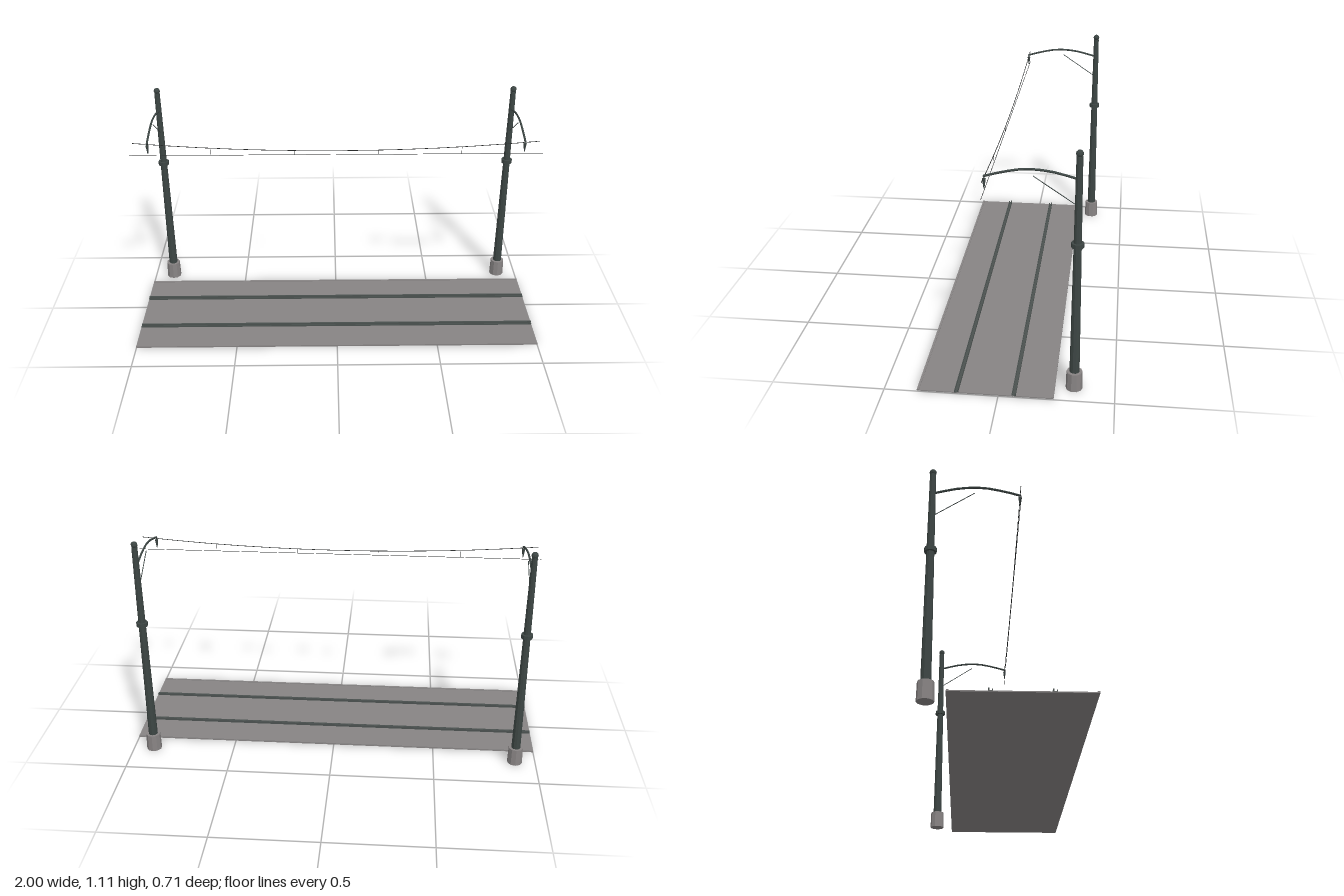
import * as THREE from 'three';

const paint = (name, color) => {
  const m = new THREE.MeshStandardMaterial({ color, flatShading: true });
  m.name = name;
  return m;
};

export function createModel() {
  const iron = paint('dark green iron', 0x3d4644);
  const concrete = paint('concrete grey', 0x888484);
  const paving = paint('paving grey', 0x878484);
  const steel = paint('rail steel', 0x4b5250);
  const wireMat = paint('wire black', 0x2a2c2c);

  const model = new THREE.Group();
  model.name = 'tramLineSection';
  const V = (x, y, z) => new THREE.Vector3(x, y, z);

  function add(parent, name, geometry, material, x = 0, y = 0, z = 0) {
    const mesh = new THREE.Mesh(geometry, material);
    mesh.name = name;
    mesh.position.set(x, y, z);
    parent.add(mesh);
    return mesh;
  }

  // Round bar between two points
  function bar(parent, name, a, b, r, material, sides = 6) {
    const d = b.clone().sub(a);
    const mesh = add(parent, name, new THREE.CylinderGeometry(r, r, d.length(), sides), material);
    mesh.position.copy(a).add(b).multiplyScalar(0.5);
    mesh.quaternion.setFromUnitVectors(V(0, 1, 0), d.normalize());
  }

  // Track bed with edge strips
  add(model, 'trackBed', new THREE.BoxGeometry(2, 0.005, 0.595), paving, 0, 0.0055, 0.0575);
  for (const z of [-0.234, 0.35]) {
    add(model, 'edgeStrip', new THREE.BoxGeometry(2, 0.008, 0.01), paving, 0, 0.007, z);
  }

  // Grooved rails: foot, running head and guard lip
  for (const z of [-0.068, 0.182]) {
    const rail = new THREE.Group();
    rail.name = 'rail';
    rail.position.z = z;
    add(rail, 'railFoot', new THREE.BoxGeometry(2, 0.006, 0.018), steel, 0, 0.0065, 0);
    add(rail, 'railHead', new THREE.BoxGeometry(2, 0.011, 0.006), steel, 0, 0.0145, -0.006);
    add(rail, 'railLip', new THREE.BoxGeometry(2, 0.008, 0.003), steel, 0, 0.012, 0.0075);
    model.add(rail);
  }

  // Poles with curved bracket arms
  const poleZ = -0.322, wireZ = 0.06;
  for (const x of [-0.9, 0.9]) {
    const pole = new THREE.Group();
    pole.name = 'polePost';
    pole.position.x = x;
    add(pole, 'poleBase', new THREE.CylinderGeometry(0.035, 0.037, 0.085, 10), concrete, 0, 0.0425, poleZ);
    add(pole, 'poleShaft', new THREE.CylinderGeometry(0.0135, 0.022, 1.0, 10), iron, 0, 0.585, poleZ);
    add(pole, 'poleCollar', new THREE.CylinderGeometry(0.027, 0.027, 0.02, 10), iron, 0, 0.696, poleZ);
    add(pole, 'poleFinial', new THREE.SphereGeometry(0.016, 8, 6), iron, 0, 1.096, poleZ);

    const arm = new THREE.CatmullRomCurve3([
      V(0, 0.988, -0.315), V(0, 1.014, -0.21), V(0, 1.021, -0.11), V(0, 1.006, -0.02), V(0, 0.984, wireZ),
    ]);
    add(pole, 'bracketArm', new THREE.TubeGeometry(arm, 8, 0.005, 6), iron);
    add(pole, 'armTip', new THREE.SphereGeometry(0.0055, 6, 4), iron, 0, 0.984, wireZ);
    bar(pole, 'armStrut', V(0, 0.872, -0.315), V(0, 0.992, -0.138), 0.002, iron);
    bar(pole, 'hangerPin', V(0, 0.984, wireZ), V(0, 0.965, wireZ), 0.002, iron);
    add(pole, 'insulator', new THREE.CylinderGeometry(0.008, 0.002, 0.042, 8), iron, 0, 0.951, wireZ);
    model.add(pole);
  }

  // Sagging carrier wire, straight contact wire and droppers
  const sag = (x) => 0.94 + 0.044 * (x / 0.97) ** 2;
  const n = 12;
  for (let i = 0; i < n; i++) {
    const a = -0.97 + (1.94 * i) / n, b = a + 1.94 / n;
    bar(model, 'carrierWire', V(a, sag(a), wireZ), V(b, sag(b), wireZ), 0.0016, wireMat, 5);
  }
  bar(model, 'contactWire', V(-0.99, 0.92, wireZ), V(0.99, 0.92, wireZ), 0.0012, wireMat, 5);
  for (const x of [-0.6, -0.2, 0.2, 0.6]) {
    bar(model, 'dropper', V(x, 0.92, wireZ), V(x, sag(x), wireZ), 0.0009, wireMat, 5);
  }

  return model;
}
